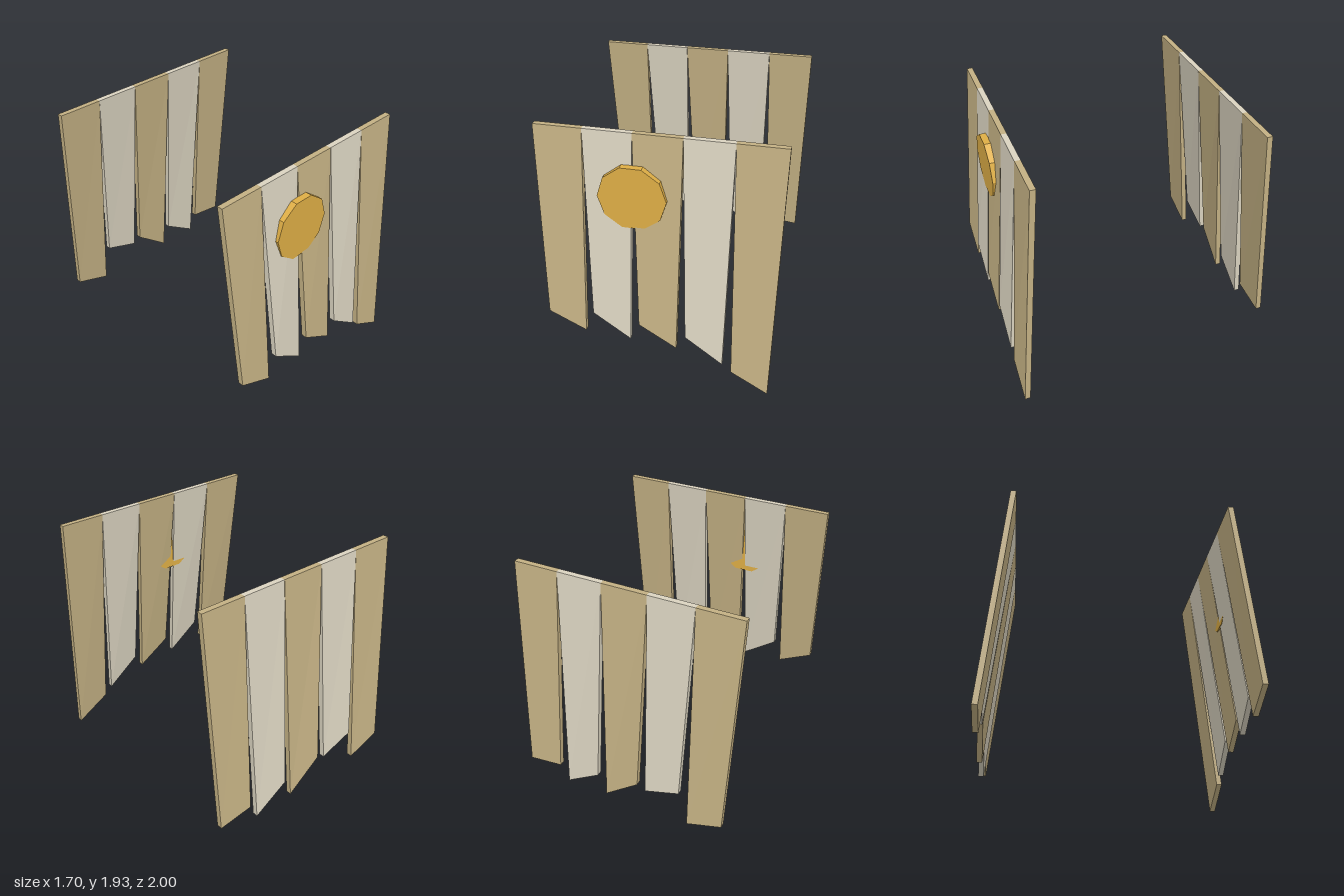
import * as THREE from 'three';

const material = (color) => new THREE.MeshStandardMaterial({ color, flatShading: true });

// Bottom heights [left edge, right edge] of each strip, running from -x to +x
const FRONT = [[0.49, 0.355], [0.53, 0.335], [0.48, 0.31], [0.425, 0.22], [0.16, 0]];
const BACK = [[0.246, 0.15], [0.43, 0.335], [0.37, 0.154], [0.318, 0.144], [0.28, 0.245]];

const TOP = 1.93, WIDTH = 0.34, THICK = 0.042;

// One tapering cloth strip: a box whose corners hang outwards to a slanted hem
function stripGeometry(index, hem, side) {
  const x0 = -0.85 + index * WIDTH;
  const geometry = new THREE.BoxGeometry(1, 1, 1);
  const p = geometry.attributes.position;
  for (let i = 0; i < p.count; i++) {
    const right = p.getX(i) > 0, top = p.getY(i) > 0, outer = p.getZ(i) * side > 0;
    const x = x0 + (right ? WIDTH : 0) + (top ? 0 : right ? -0.022 : 0.044);
    const y = top ? TOP : hem[right ? 1 : 0];
    const z = side * ((top ? 0.8 : 1 - THICK) + (outer ? THICK : 0));
    p.setXYZ(i, x, y, z);
  }
  geometry.computeVertexNormals();
  return geometry;
}

// Five strips in alternating colours, hung edge to edge
function panel(name, hems, side, materials) {
  const group = new THREE.Group();
  group.name = name;
  hems.forEach((hem, i) => {
    const strip = new THREE.Mesh(stripGeometry(i, hem, side), materials[i % 2]);
    strip.name = `${name}Strip${i + 1}`;
    group.add(strip);
  });
  return group;
}

export function createModel() {
  const model = new THREE.Group();
  model.name = 'clothPanels';

  const cloth = [material(0xc3b083), material(0xdad3c0)];
  model.add(panel('frontPanel', FRONT, 1, cloth), panel('backPanel', BACK, -1, cloth));

  // Ten-sided medallion set upright through the front panel
  const disc = new THREE.CylinderGeometry(0.24, 0.24, 0.052, 10);
  disc.rotateY(Math.PI / 2).rotateX(Math.PI / 2);
  const medallion = new THREE.Mesh(disc, material(0xdeae46));
  medallion.name = 'medallion';
  medallion.position.set(-0.168, 1.48, 0.889);
  model.add(medallion);

  return model;
}
